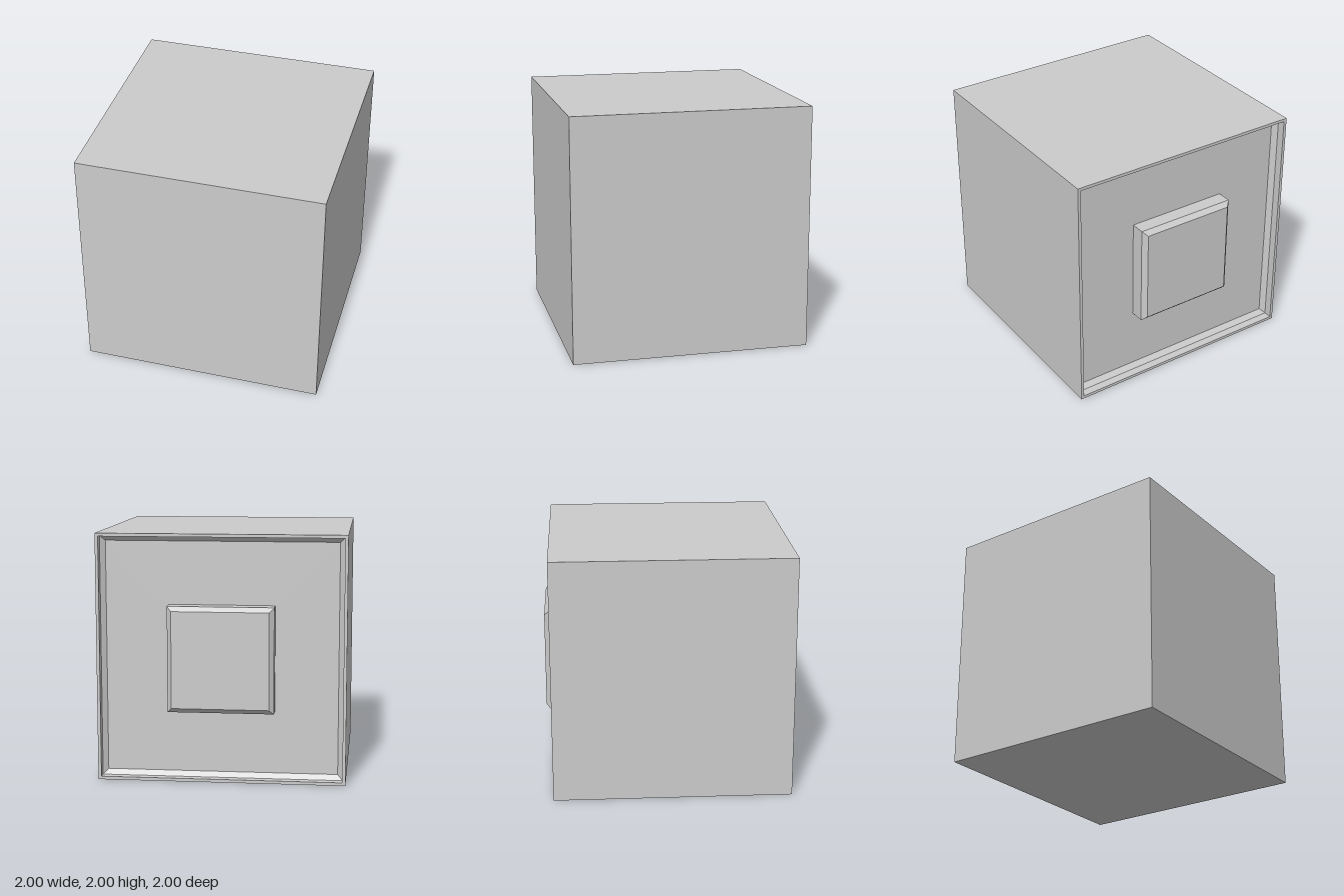
import * as THREE from 'three';

const material = new THREE.MeshStandardMaterial({ color: 0xcccccc, flatShading: true });

// Square solid from a profile of [half width, z], running from the back to the front
function squareSolid(name, profile) {
  const points = profile.map(([half, z]) => new THREE.Vector2(half * Math.SQRT2, z));
  const lathe = new THREE.LatheGeometry(points, 4, Math.PI / 4);
  lathe.rotateX(Math.PI / 2);
  const geometry = lathe.toNonIndexed();
  geometry.computeVertexNormals();
  const mesh = new THREE.Mesh(geometry, material);
  mesh.name = name;
  mesh.position.y = 1;
  return mesh;
}

export function createModel() {
  const group = new THREE.Group();
  group.name = 'cubeWithBackButton';

  // Cube with a thin rim around a bevelled recess in its back
  group.add(squareSolid('body', [
    [0, -0.845], [0.935, -0.845], // recess floor
    [0.975, -0.882],              // bevel
    [0.975, -0.95], [1, -0.95],   // rim
    [1, 1], [0, 1],               // sides and front
  ]));

  // Bevelled square button standing on the recess floor
  group.add(squareSolid('backButton', [
    [0, -1], [0.39, -1],
    [0.427, -0.963],
    [0.427, -0.845],
  ]));

  return group;
}
